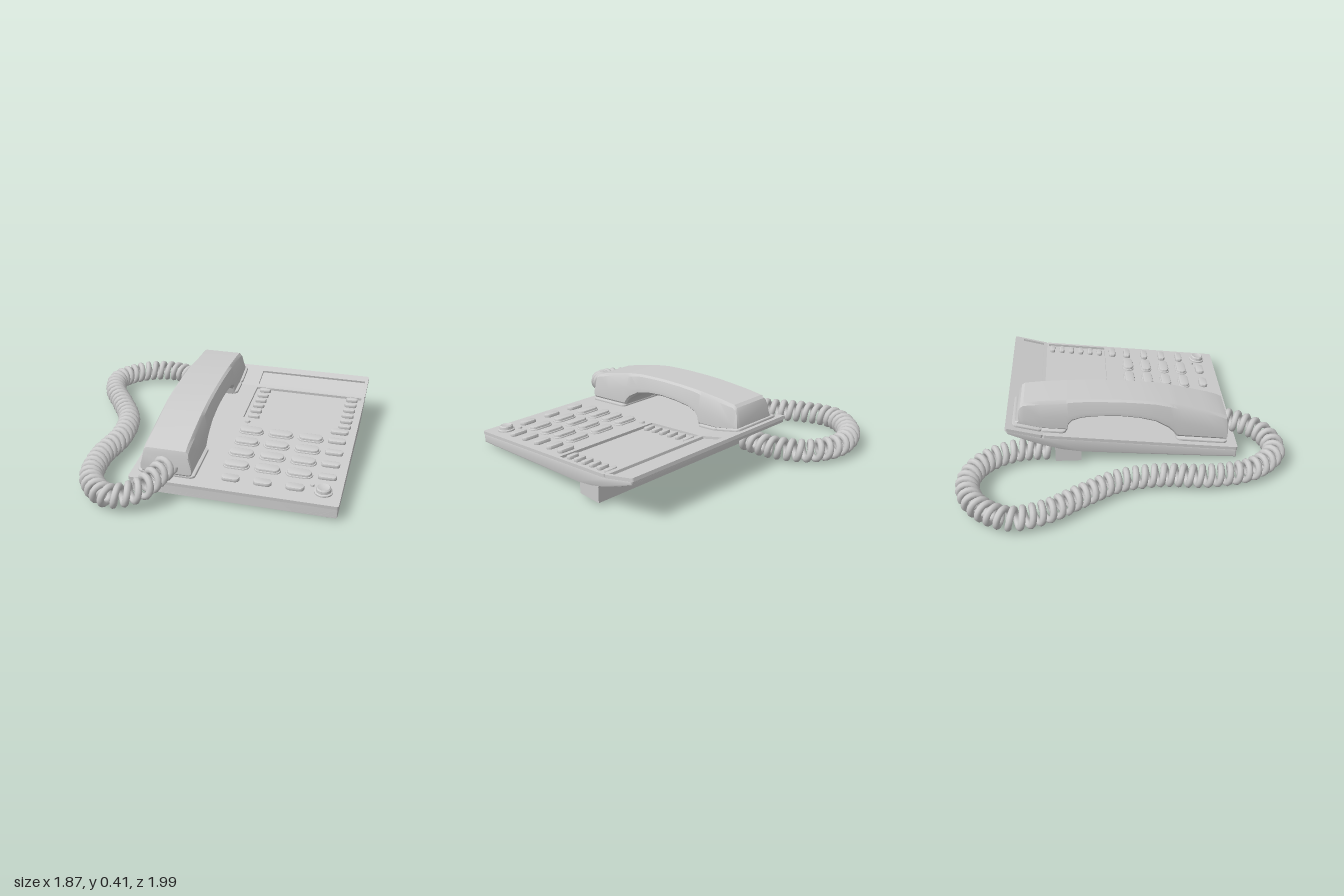
import * as THREE from 'three';
import { toCreasedNormals } from 'three/addons/utils/BufferGeometryUtils.js';

const grey = new THREE.MeshStandardMaterial({ color: 0xcccccc });
const LEFT = -0.28, RIGHT = 0.93, MID = (LEFT + RIGHT) / 2;

function add(parent, name, geometry, x = 0, y = 0, z = 0) {
  const mesh = new THREE.Mesh(geometry, grey);
  mesh.name = name;
  mesh.position.set(x, y, z);
  parent.add(mesh);
  return mesh;
}

// Rounded rectangle centred on (x, y)
function roundRect(path, x, y, w, h, r) {
  const a = w / 2 - r, b = h / 2 - r;
  path.absarc(x + a, y + b, r, 0, Math.PI / 2);
  path.absarc(x - a, y + b, r, Math.PI / 2, Math.PI);
  path.absarc(x - a, y - b, r, Math.PI, Math.PI * 1.5);
  path.absarc(x + a, y - b, r, Math.PI * 1.5, Math.PI * 2);
  path.closePath();
  return path;
}

// Upright pad with softened top edges, standing on y = 0
function padGeometry(w, d, h, r, bevel = 0.007) {
  const shape = roundRect(new THREE.Shape(), 0, 0, w, d, r);
  const geo = new THREE.ExtrudeGeometry(shape, {
    depth: h - bevel, bevelThickness: bevel, bevelSize: bevel,
    bevelOffset: -bevel, bevelSegments: 2, curveSegments: 8,
  });
  return toCreasedNormals(geo.rotateX(-Math.PI / 2), 0.6);
}

// Sloping deck from zFront to zBack with one rectangular recess; at() maps world z to the slope
function makeDeck(parent, name, zFront, yFront, zBack, yBack, recess) {
  const slope = Math.atan2(yBack - yFront, zFront - zBack), t = 0.02;
  const group = new THREE.Group();
  group.name = name;
  group.position.set(0, yFront, zFront);
  group.rotation.x = slope;
  parent.add(group);
  const at = (z) => (z - zFront) / Math.cos(slope);
  const length = -at(zBack);
  const shape = roundRect(new THREE.Shape(), MID, length / 2, RIGHT - LEFT, length, 0.012);
  const [x0, x1, z0, z1] = recess;
  shape.holes.push(roundRect(new THREE.Path(), (x0 + x1) / 2, -at((z0 + z1) / 2), x1 - x0, z1 - z0, 0.004));
  const geo = new THREE.ExtrudeGeometry(shape, { depth: t, bevelEnabled: false, curveSegments: 4 });
  add(group, name + 'Plate', geo.rotateX(-Math.PI / 2), 0, -t, 0);
  return { group, at };
}

function makeBase(phone) {
  // Lower shell: side profile as [z, y], swept across the width
  const profile = [[0.70, 0.017], [0.2, 0.054], [-0.26, 0.09], [-0.38, 0.112], [-0.47, 0.14],
    [-0.58, 0.18], [-0.705, 0.235], [-0.705, 0.262], [-0.49, 0.204], [0.70, 0.073]];
  const shape = new THREE.Shape(profile.map(([z, y]) => new THREE.Vector2(-z, y)));
  const b = 0.008;
  const shell = new THREE.ExtrudeGeometry(shape, {
    depth: RIGHT - LEFT - 0.008 - 2 * b, bevelThickness: b, bevelSize: b, bevelOffset: -b, bevelSegments: 2,
  }).rotateY(Math.PI / 2);
  add(phone, 'lowerShell', toCreasedNormals(shell, 0.4), LEFT + 0.004 + b);
  // Core closing the gap between shell and deck
  const core = new THREE.ExtrudeGeometry(shape, { depth: RIGHT - LEFT - 0.02, bevelEnabled: false });
  add(phone, 'innerShell', core.rotateY(Math.PI / 2), LEFT + 0.01, 0.002);

  // Feet
  add(phone, 'rearFootBar', new THREE.BoxGeometry(1.18, 0.1, 0.16), MID, 0.07, -0.34);
  for (const x of [-0.2, 0.86]) {
    add(phone, 'frontFoot', new THREE.CylinderGeometry(0.04, 0.036, 0.03, 24), x, 0.015, 0.64);
  }
}

function makeControls(deck) {
  const key = (name, x, z, w, d, h = 0.02, y = 0) =>
    add(deck.group, name, padGeometry(w, d, h - y, d / 2 - 0.001), x, y, deck.at(z));
  const rows = [0.08, 0.205, 0.33, 0.455];
  const columns = [0.3, 0.485, 0.67];
  for (const x of columns) {
    for (const z of rows) {
      key('dialKeySurround', x, z, 0.158, 0.078, 0.008);
      key('dialKey', x, z, 0.142, 0.064, 0.022);
    }
    key('lowerKey', x, 0.59, 0.105, 0.055);
  }
  for (const z of [-0.025, ...rows]) key('functionKey', 0.83, z, 0.108, 0.045);
  // Memory keys stand on the recessed card panel
  for (const x of [0.27, 0.85]) {
    for (let i = 0; i < 6; i++) key('memoryKey', x, -0.45 + i * 0.067, 0.075, 0.035, 0.004, -0.019);
  }
  // Round knob, lamp and microphone dot
  const ring = [[0, 0], [0.052, 0], [0.052, 0.008], [0.043, 0.012], [0.041, 0.028], [0.034, 0.035], [0.028, 0.032], [0, 0.032]];
  const knob = new THREE.LatheGeometry(ring.map((p) => new THREE.Vector2(...p)), 32);
  add(deck.group, 'roundKey', toCreasedNormals(knob, 0.5), 0.83, 0, deck.at(0.59));
  add(deck.group, 'lamp', new THREE.CylinderGeometry(0.015, 0.018, 0.012, 20), 0.25, 0.006, deck.at(-0.025));
  add(deck.group, 'microphoneDot', new THREE.CylinderGeometry(0.011, 0.013, 0.01, 16), 0.76, 0.005, deck.at(0.545));
}

// Handset: cross-sections from mouthpiece to earpiece as [z, bottom, top]
function makeHandset(phone) {
  const stations = [[0.648, 0.12, 0.235], [0.64, 0.107, 0.265], [0.6, 0.111, 0.285], [0.5, 0.12, 0.314],
    [0.36, 0.133, 0.35], [0.335, 0.137, 0.356], [0.31, 0.175, 0.362], [0.28, 0.205, 0.367],
    [0.2, 0.255, 0.382], [0.1, 0.283, 0.393], [-0.02, 0.3, 0.403], [-0.15, 0.303, 0.41],
    [-0.25, 0.297, 0.413], [-0.31, 0.277, 0.413], [-0.335, 0.25, 0.413], [-0.345, 0.205, 0.413],
    [-0.5, 0.222, 0.409], [-0.6, 0.25, 0.402], [-0.62, 0.255, 0.388], [-0.635, 0.26, 0.36], [-0.657, 0.265, 0.285]];
  const positions = [], index = [];
  for (const [z, b, t] of stations) {
    const h = t - b, seam = Math.max(b + 0.3 * h, t - 0.1);
    const half = [[0.14, b], [0.152, b + 0.1 * h], [0.152, seam], [0.133, t - 0.1 * h], [0.118, t]];
    const ring = [...half, ...half.map(([x, y]) => [-x, y]).reverse()];
    for (const [x, y] of ring) positions.push(x, y, z);
  }
  const n = 10, last = (stations.length - 1) * n;
  for (let i = 0; i < last; i += n) {
    for (let j = 0; j < n; j++) {
      const a = i + j, b = i + (j + 1) % n;
      index.push(a, a + n, b, b, a + n, b + n);
    }
  }
  for (let j = 1; j < n - 1; j++) index.push(0, j, j + 1, last, last + j + 1, last + j);
  const geo = new THREE.BufferGeometry();
  geo.setAttribute('position', new THREE.Float32BufferAttribute(positions, 3));
  geo.setIndex(index);
  add(phone, 'handset', toCreasedNormals(geo, 0.45), -0.068);
}

// Coiled cord: a helix wound round a smooth centre line
function makeCord(phone) {
  const centre = new THREE.CatmullRomCurve3([
    [-0.2, 0.075, -0.44], [-0.21, 0.075, -0.62], [-0.27, 0.075, -0.77], [-0.38, 0.074, -0.88],
    [-0.55, 0.074, -0.927], [-0.74, 0.074, -0.86], [-0.867, 0.074, -0.67], [-0.82, 0.074, -0.47],
    [-0.69, 0.074, -0.27], [-0.56, 0.074, -0.05], [-0.515, 0.074, 0.2], [-0.535, 0.074, 0.5],
    [-0.475, 0.076, 0.77], [-0.31, 0.085, 0.922], [-0.155, 0.115, 0.87], [-0.09, 0.15, 0.75], [-0.06, 0.17, 0.63],
  ].map((p) => new THREE.Vector3(...p)));
  centre.arcLengthDivisions = 600;
  const coils = Math.round(centre.getLength() / 0.056), steps = coils * 14;
  const up = new THREE.Vector3(0, 1, 0), points = [];
  for (let i = 0; i <= steps; i++) {
    const u = i / steps, angle = u * coils * Math.PI * 2;
    const side = centre.getTangentAt(u).cross(up).normalize();
    points.push(centre.getPointAt(u).addScaledVector(side, 0.053 * Math.cos(angle))
      .addScaledVector(up, 0.053 * Math.sin(angle)));
  }
  const helix = new THREE.CatmullRomCurve3(points);
  helix.arcLengthDivisions = steps * 2;
  add(phone, 'coiledCord', new THREE.TubeGeometry(helix, steps, 0.02, 8));
}

export function createModel() {
  const phone = new THREE.Group();
  phone.name = 'deskTelephone';
  makeBase(phone);
  const front = makeDeck(phone, 'keyDeck', 0.705, 0.092, -0.49, 0.222, [0.21, 0.91, -0.475, -0.075]);
  const rear = makeDeck(phone, 'rearDeck', -0.49, 0.222, -0.713, 0.28, [0.21, 0.91, -0.66, -0.508]);
  makeControls(front);
  // Low cradle pads under both ends of the handset
  add(front.group, 'frontCradle', padGeometry(0.345, 0.32, 0.014, 0.03), -0.072, 0, front.at(0.485));
  add(front.group, 'rearCradle', padGeometry(0.345, 0.16, 0.014, 0.03), -0.072, 0, front.at(-0.43));
  add(rear.group, 'rearCradleBack', padGeometry(0.345, 0.19, 0.014, 0.03), -0.072, 0, rear.at(-0.585));
  makeHandset(phone);
  makeCord(phone);
  return phone;
}
